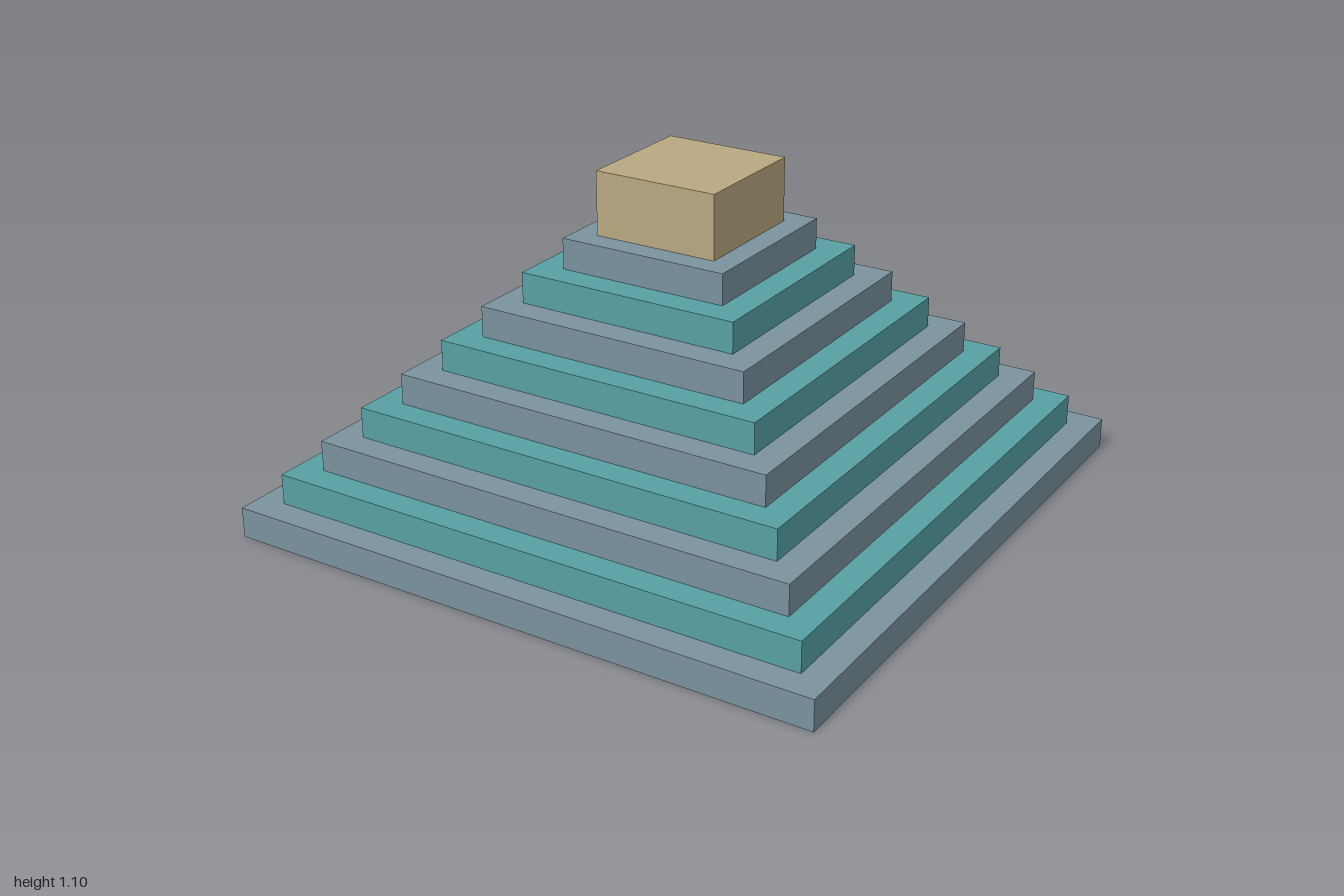
import * as THREE from 'three';

const TIERS = 9;
const TIER_HEIGHT = 0.0995;
const BASE_WIDTH = 2;
const WIDTH_STEP = 0.1795;

export function createModel() {
  const model = new THREE.Group();
  model.name = 'steppedPyramid';

  const material = (name, color) => {
    const m = new THREE.MeshStandardMaterial({ color });
    m.name = name;
    return m;
  };
  const slate = material('slate', 0x7a929e);
  const teal = material('teal', 0x57a0a4);
  const sandstone = material('sandstone', 0xb8a780);

  // Square block resting on height y
  const addBlock = (name, width, height, y, mat) => {
    const block = new THREE.Mesh(new THREE.BoxGeometry(width, height, width), mat);
    block.name = name;
    block.position.y = y + height / 2;
    model.add(block);
  };

  // Terraces, alternating slate and teal
  for (let i = 0; i < TIERS; i++) {
    addBlock(`tier${i + 1}`, BASE_WIDTH - i * WIDTH_STEP, TIER_HEIGHT, i * TIER_HEIGHT, i % 2 ? teal : slate);
  }

  // Shrine on the summit
  addBlock('shrine', 0.414, 0.206, TIERS * TIER_HEIGHT, sandstone);

  return model;
}
